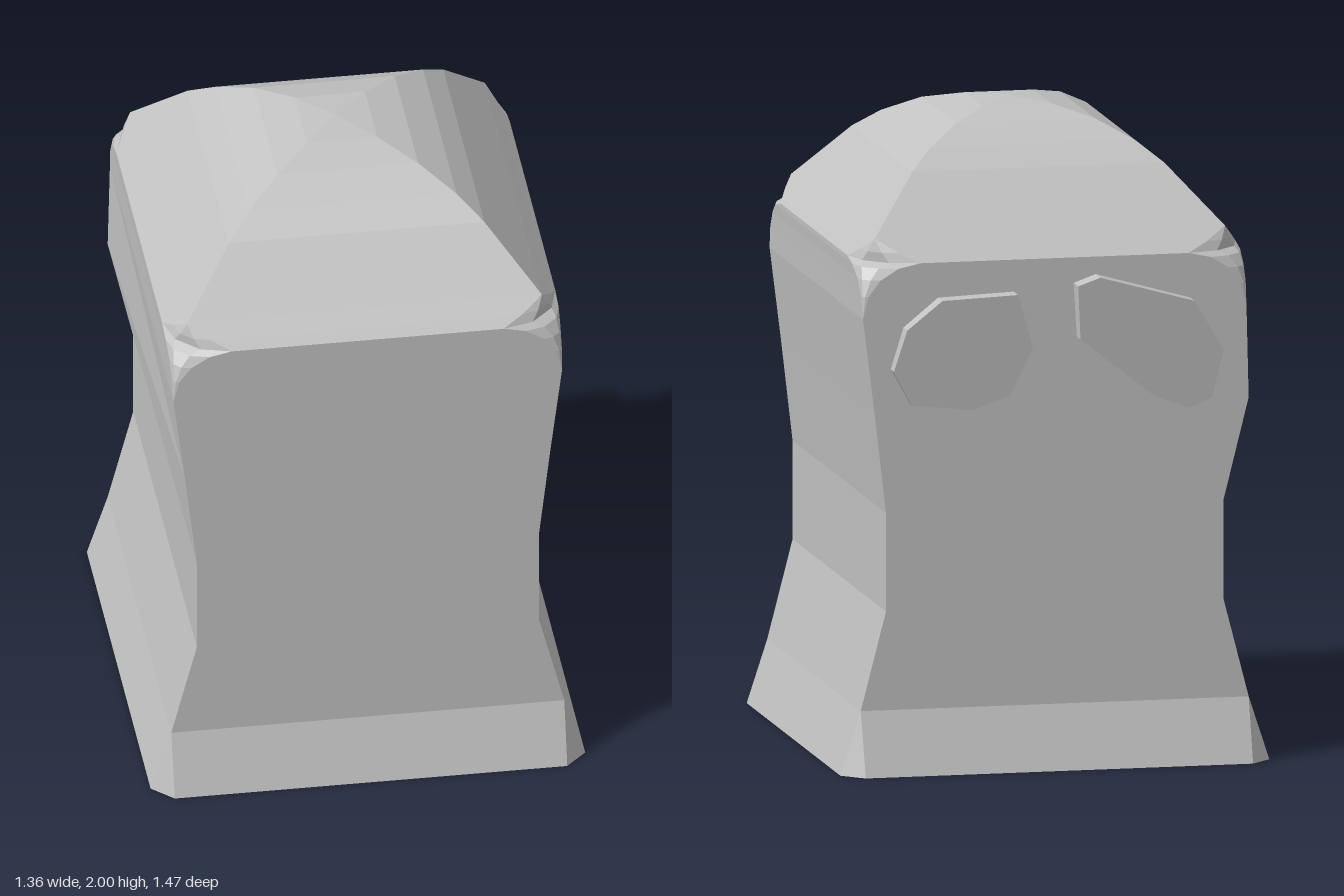
import * as THREE from 'three';

const grey = new THREE.MeshStandardMaterial({ color: 0xc2c2c2, flatShading: true });
grey.name = 'plain grey';

// Height, half width, half depth, corner radius of each cross-section
const levels = [
  [0, 0.68, 0.733, 0.066],
  [0.2, 0.615, 0.665, 0],
  [0.51, 0.535, 0.665, 0],
  [0.82, 0.535, 0.665, 0],
  [1.14, 0.572, 0.665, 0],
  [1.43, 0.608, 0.665, 0],
  [1.5, 0.61, 0.665, 0.02],
  [1.55, 0.612, 0.665, 0.06],
  [1.585, 0.615, 0.665, 0.12],
  [1.6, 0.615, 0.665, 0.19],
  [1.63, 0.589, 0.637, 0.1],
  [1.67, 0.555, 0.597, 0],
  [1.845, 0.4, 0.43, 0],
  [1.905, 0.325, 0.35, 0],
  [1.96, 0.22, 0.245, 0],
  [1.99, 0.11, 0.128, 0],
  [2, 0, 0, 0],
];
const STEPS = 3;

// One rounded rectangle, running from +x towards +z
function section([y, hx, hz, r]) {
  const ring = [];
  for (let q = 0; q < 4; q++) {
    const sx = q === 0 || q === 3 ? 1 : -1;
    const sz = q < 2 ? 1 : -1;
    for (let s = 0; s <= STEPS; s++) {
      const t = s / STEPS;
      const a = (q + t) * Math.PI / 2;
      let cx = Math.cos(a), cz = Math.sin(a);
      if (y === 0) { // straight chamfer at the foot
        const u = q % 2 ? t : 1 - t;
        cx = sx * u;
        cz = sz * (1 - u);
      }
      const x = sx * (hx - r) + r * cx;
      const z = sz * (hz - r) + r * cz;
      // the rear edge on the right stays wide further down
      const bulge = y === 1.14 && q === 2;
      ring.push(new THREE.Vector3(bulge ? -0.615 : x, y, z));
    }
  }
  return ring;
}

function bodyGeometry() {
  const pos = [];
  const tri = (a, b, c) => {
    const area = b.clone().sub(a).cross(c.clone().sub(a)).length();
    if (area > 1e-7) for (const p of [a, b, c]) pos.push(p.x, p.y, p.z);
  };
  const rings = levels.map(section);
  const n = rings[0].length;
  for (let i = 0; i + 1 < rings.length; i++) {
    for (let j = 0; j < n; j++) {
      const k = (j + 1) % n;
      const lo = rings[i], hi = rings[i + 1];
      tri(lo[j], hi[j], hi[k]);
      tri(lo[j], hi[k], lo[k]);
    }
  }
  // underside
  const centre = new THREE.Vector3();
  for (let j = 0; j < n; j++) tri(centre, rings[0][j], rings[0][(j + 1) % n]);
  const g = new THREE.BufferGeometry();
  g.setAttribute('position', new THREE.Float32BufferAttribute(pos, 3));
  g.computeVertexNormals();
  return g;
}

// Faceted eye plate whose outer face leans slightly
function eye(name, outline) {
  const shape = new THREE.Shape(outline.map(([x, y]) => new THREE.Vector2(x, y)));
  const g = new THREE.ExtrudeGeometry(shape, { depth: 0.1, bevelEnabled: false });
  const p = g.attributes.position;
  for (let i = 0; i < p.count; i++) {
    p.setZ(i, p.getZ(i) > 0.05 ? -0.64 : -0.7 - 0.075 * (p.getY(i) - 1.11));
  }
  g.computeVertexNormals();
  const mesh = new THREE.Mesh(g, grey);
  mesh.name = name;
  return mesh;
}

export function createModel() {
  const model = new THREE.Group();
  model.name = 'domedFigure';

  const body = new THREE.Mesh(bodyGeometry(), grey);
  body.name = 'body';
  model.add(body);

  model.add(eye('roundEye', [
    [0.52, 1.27], [0.46, 1.16], [0.27, 1.14], [0.15, 1.18],
    [0.08, 1.33], [0.13, 1.5], [0.37, 1.49], [0.48, 1.4],
  ]));
  model.add(eye('slantedEye', [
    [-0.06, 1.52], [-0.13, 1.545], [-0.43, 1.46], [-0.525, 1.3],
    [-0.49, 1.15], [-0.42, 1.12], [-0.31, 1.16], [-0.07, 1.35],
  ]));
  return model;
}
